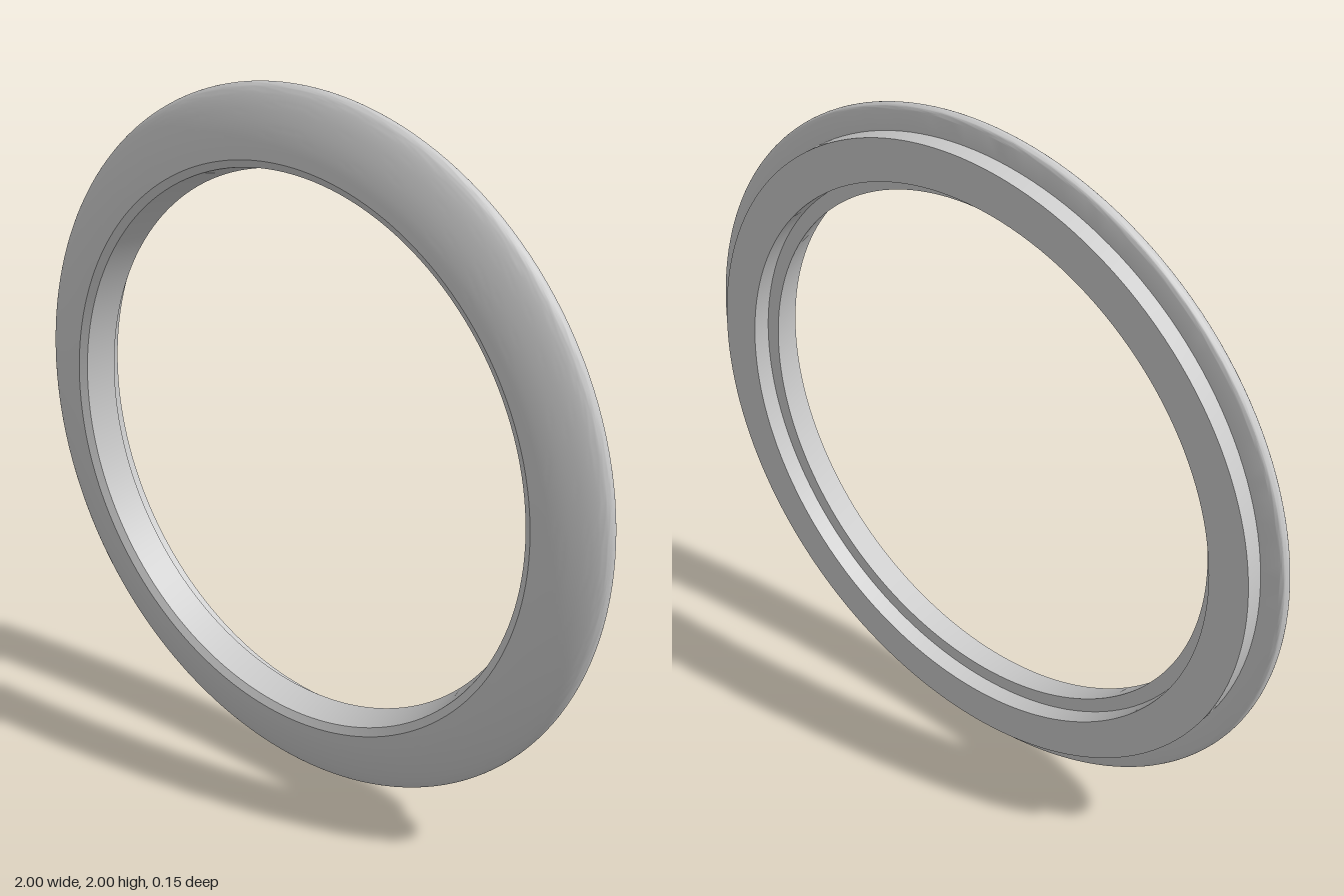
import * as THREE from 'three';
import { toCreasedNormals } from 'three/addons/utils/BufferGeometryUtils.js';

const v = (r, z) => new THREE.Vector2(r, z);

export function createModel() {
  const group = new THREE.Group();
  group.name = 'ring';

  // Domed front with a rounded outer rim, as (radius, depth)
  const dome = new THREE.SplineCurve([
    v(0.983, -0.026), v(0.995, -0.021), v(1, -0.009), v(0.995, 0.005),
    v(0.978, 0.02), v(0.945, 0.038), v(0.9, 0.056), v(0.855, 0.069), v(0.812, 0.077),
  ]).getPoints(40);

  // Closed cross-section: back collar, dome, chamfer, tapered bore, rear recess
  const profile = [
    v(0.812, -0.077), v(0.93, -0.077), v(0.93, -0.026),
    ...dome,
    v(0.79, 0.065), v(0.77, -0.024), v(0.812, -0.024), v(0.812, -0.077),
  ];

  const geometry = toCreasedNormals(new THREE.LatheGeometry(profile, 160), 0.35);
  geometry.rotateX(Math.PI / 2);
  const bezel = new THREE.Mesh(geometry, new THREE.MeshStandardMaterial({ color: 0xcccccc }));
  bezel.name = 'bezelRing';
  bezel.position.y = 1;
  group.add(bezel);
  return group;
}
